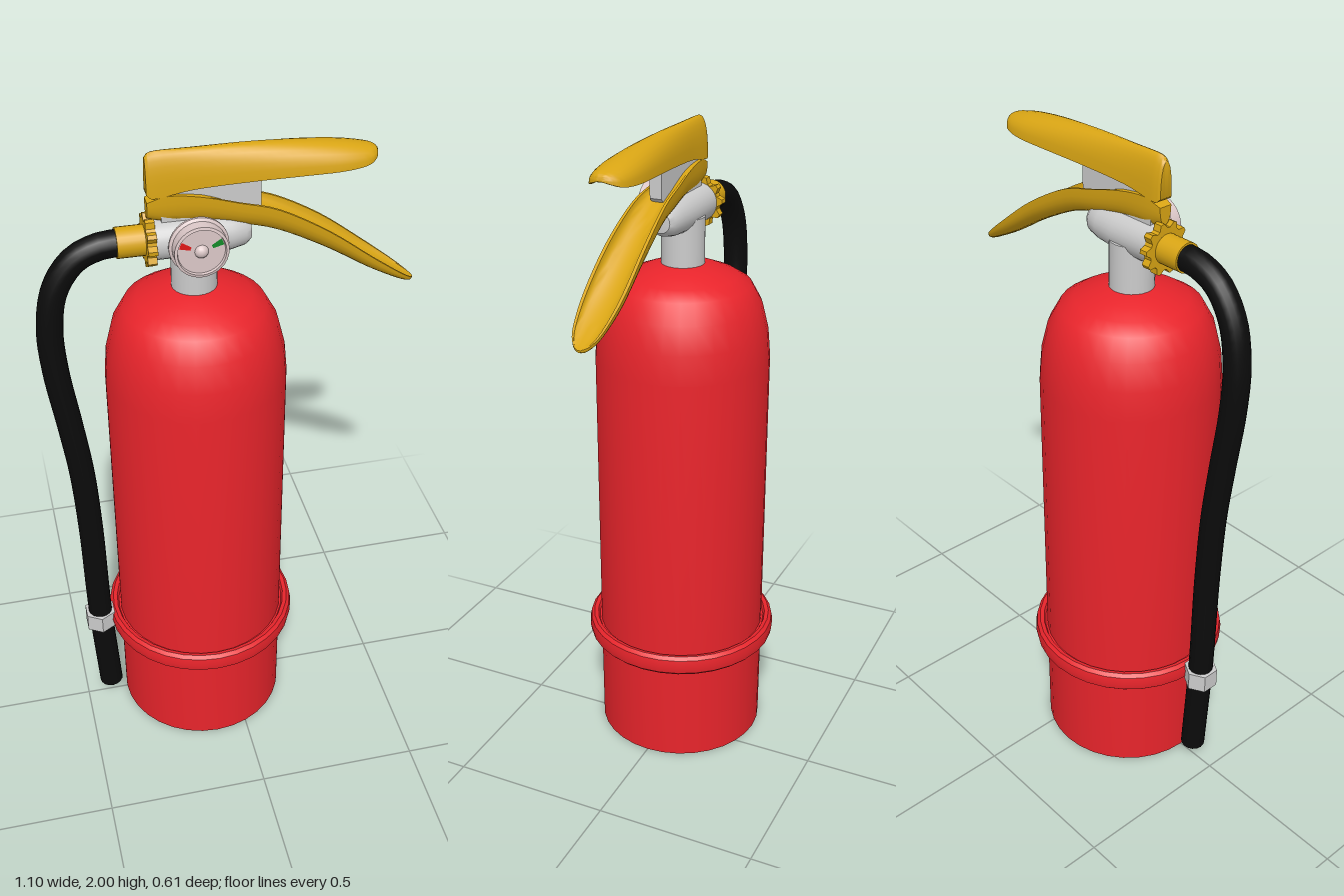
import * as THREE from 'three';
import { toCreasedNormals } from 'three/addons/utils/BufferGeometryUtils.js';

const TANK_X = -0.1;
const VALVE_Y = 1.745;
const V2 = (p) => new THREE.Vector2(p[0], p[1]);
const V3 = (p) => new THREE.Vector3(p[0], p[1], p[2]);

const paint = (color) => new THREE.MeshStandardMaterial({ color });
const red = paint(0xe8242b);
const yellow = paint(0xd9a514);
const black = paint(0x0b0b0b);
const grey = paint(0xcccccc);
const dial = paint(0xdcc8c8);
const markRed = paint(0xe01818);
const markGreen = paint(0x128a28);

const lathe = (profile, segments) =>
  toCreasedNormals(new THREE.LatheGeometry(profile.map(V2), segments), 0.6);

// Channel-shaped lever: an arched shell lofted along x.
// Each section is [x, rim y, crown y, half width, hollow depth 0..1].
function leverGeometry(sections) {
  const n = 14, steps = 36, ring = 2 * n + 2;
  const spline = (f) => new THREE.CatmullRomCurve3(sections.map(f).map(V3), false, 'catmullrom', 0.5);
  const place = spline((s) => [s[0], s[1], s[2]]);
  const size = spline((s) => [s[3], s[4], 0]);
  const pos = [], idx = [];
  for (let i = 0; i <= steps; i++) {
    const p = place.getPoint(i / steps), q = size.getPoint(i / steps);
    const rise = p.z - p.y, side = Math.sign(rise);
    for (let k = 0; k < ring; k++) {
      const inner = k > n;
      const a = Math.PI * (inner ? ring - 1 - k : k) / n;
      const u = -Math.cos(a) * (inner ? 0.84 : 1);
      const v = Math.pow(Math.max(Math.sin(a), 0), 0.8) * (inner ? Math.max(q.y, 0) : 1);
      pos.push(p.x, p.y + v * rise, u * q.x * side);
    }
  }
  const quad = (a, b, c, d) => idx.push(a, b, c, a, c, d);
  for (let i = 0; i < steps; i++) {
    for (let k = 0; k < ring; k++) {
      const k2 = (k + 1) % ring;
      quad(i * ring + k, i * ring + k2, (i + 1) * ring + k2, (i + 1) * ring + k);
    }
  }
  // End caps bridge the outer and inner arches
  const e = steps * ring;
  for (let j = 0; j < n; j++) {
    const o = j, i = ring - 1 - j;
    quad(o, i, i - 1, o + 1);
    quad(e + o, e + o + 1, e + i - 1, e + i);
  }
  const g = new THREE.BufferGeometry();
  g.setAttribute('position', new THREE.Float32BufferAttribute(pos, 3));
  g.setIndex(idx);
  return toCreasedNormals(g, 0.7);
}

export function createModel() {
  const model = new THREE.Group();
  const add = (name, geometry, material, x = 0, y = 0, z = 0, parent = model) => {
    const m = new THREE.Mesh(geometry, material);
    m.name = name;
    m.position.set(x, y, z);
    parent.add(m);
    return m;
  };

  // Tank with recessed base and domed shoulder
  add('tank', lathe([
    [0, 0.03], [0.2, 0.03], [0.235, 0.012], [0.25, 0], [0.265, 0], [0.266, 0.33], [0.266, 1.3],
    [0.258, 1.39], [0.238, 1.47], [0.205, 1.53], [0.165, 1.555], [0.115, 1.575], [0.065, 1.59], [0, 1.59],
  ], 32), red, TANK_X);

  // Rounded band around the tank
  add('tankBand', lathe([
    [0.26, 0.33], [0.29, 0.33], [0.3, 0.34], [0.304, 0.362], [0.3, 0.385], [0.29, 0.395],
    [0.277, 0.392], [0.272, 0.38], [0.26, 0.38],
  ], 32), red, TANK_X);

  // Neck and valve body
  add('neck', new THREE.CylinderGeometry(0.065, 0.065, 0.16, 24), grey, TANK_X, 1.65);
  const valve = add('valveBody', lathe([
    [0, -0.06], [0.03, -0.057], [0.043, -0.04], [0.052, 0], [0.058, 0.07], [0.058, 0.215], [0, 0.215],
  ], 24), grey, 0, VALVE_Y);
  valve.rotation.z = Math.PI / 2;

  // Upright plate carrying the two levers
  const plate = new THREE.Shape([
    [-0.19, 1.77], [0.03, 1.77], [0.085, 1.82], [0.085, 1.93], [-0.1, 1.93], [-0.19, 1.88],
  ].map(V2));
  add('leverBracket', new THREE.ExtrudeGeometry(plate, { depth: 0.036, bevelEnabled: false }),
    grey, 0, 0, -0.018);

  // Levers
  add('upperLever', leverGeometry([
    [-0.228, 1.885, 1.985, 0.02, 0], [-0.205, 1.875, 2.0, 0.026, 0], [-0.1, 1.893, 2.0, 0.031, 0.1],
    [0.05, 1.905, 1.998, 0.045, 0.5], [0.19, 1.912, 1.99, 0.058, 0.65], [0.3, 1.915, 1.978, 0.062, 0.65],
    [0.37, 1.92, 1.965, 0.052, 0.5], [0.4, 1.93, 1.956, 0.032, 0.2], [0.41, 1.938, 1.946, 0.006, 0],
  ]), yellow);
  add('lowerLever', leverGeometry([
    [-0.228, 1.862, 1.81, 0.02, 0], [-0.17, 1.88, 1.795, 0.028, 0], [-0.08, 1.87, 1.79, 0.034, 0],
    [0.02, 1.845, 1.768, 0.043, 0.2], [0.13, 1.815, 1.738, 0.052, 0.45], [0.27, 1.737, 1.668, 0.06, 0.6],
    [0.4, 1.64, 1.588, 0.06, 0.6], [0.49, 1.572, 1.54, 0.046, 0.45], [0.53, 1.542, 1.523, 0.026, 0.2],
    [0.545, 1.532, 1.525, 0.005, 0],
  ]), yellow);

  // Pressure gauge facing forward
  const gauge = new THREE.Group();
  gauge.name = 'pressureGauge';
  gauge.position.set(TANK_X, VALVE_Y + 0.005, 0);
  model.add(gauge);
  add('gaugeStem', new THREE.CylinderGeometry(0.022, 0.022, 0.05, 16), dial, 0, 0, 0.05, gauge)
    .rotation.x = Math.PI / 2;
  add('gaugeCase', lathe([
    [0, 0.064], [0.08, 0.064], [0.083, 0.068], [0.083, 0.075], [0.075, 0.08], [0.075, 0.113],
    [0.067, 0.115], [0.065, 0.107], [0, 0.107],
  ], 32), dial, 0, 0, 0, gauge).rotation.x = Math.PI / 2;
  const mark = (start) => new THREE.RingGeometry(0.032, 0.063, 6, 1, start, 0.32);
  add('lowMark', mark(Math.PI - 0.56), markRed, 0, 0, 0.109, gauge);
  add('fullMark', mark(0.24), markGreen, 0, 0, 0.109, gauge);
  add('gaugeHub', new THREE.SphereGeometry(0.02, 16, 10), dial, 0, 0, 0.102, gauge);

  // Hose coupling: sleeve and toothed nut
  add('hoseSleeve', new THREE.CylinderGeometry(0.043, 0.043, 0.1, 24), yellow, -0.265, VALVE_Y)
    .rotation.z = Math.PI / 2;
  const teeth = 10, outline = [];
  for (let i = 0; i < teeth * 4; i++) {
    const a = i / (teeth * 4) * Math.PI * 2, r = i % 4 < 2 ? 0.075 : 0.06;
    outline.push(new THREE.Vector2(Math.cos(a) * r, Math.sin(a) * r));
  }
  add('couplingNut', new THREE.ExtrudeGeometry(new THREE.Shape(outline), { depth: 0.026, bevelEnabled: false }),
    yellow, -0.237, VALVE_Y).rotation.y = Math.PI / 2;

  // Hose with a closed lower end
  const path = new THREE.CatmullRomCurve3([
    [-0.3, 1.745, 0], [-0.36, 1.74, 0], [-0.43, 1.708, 0], [-0.488, 1.625, 0], [-0.512, 1.5, 0],
    [-0.507, 1.36, 0], [-0.48, 1.16, 0], [-0.458, 0.98, 0], [-0.445, 0.75, 0], [-0.437, 0.4, 0],
    [-0.418, 0.055, 0],
  ].map(V3));
  add('hose', new THREE.TubeGeometry(path, 64, 0.038, 16), black);
  const hoseEnd = add('hoseEnd', new THREE.CircleGeometry(0.038, 16), black, -0.418, 0.055);
  hoseEnd.lookAt(path.getPoint(1).add(path.getTangent(1)));

  // Hexagonal clip holding the hose to the band
  add('hoseClip', toCreasedNormals(new THREE.CylinderGeometry(0.052, 0.052, 0.06, 6), 0.3),
    grey, -0.438, 0.362);

  return model;
}
